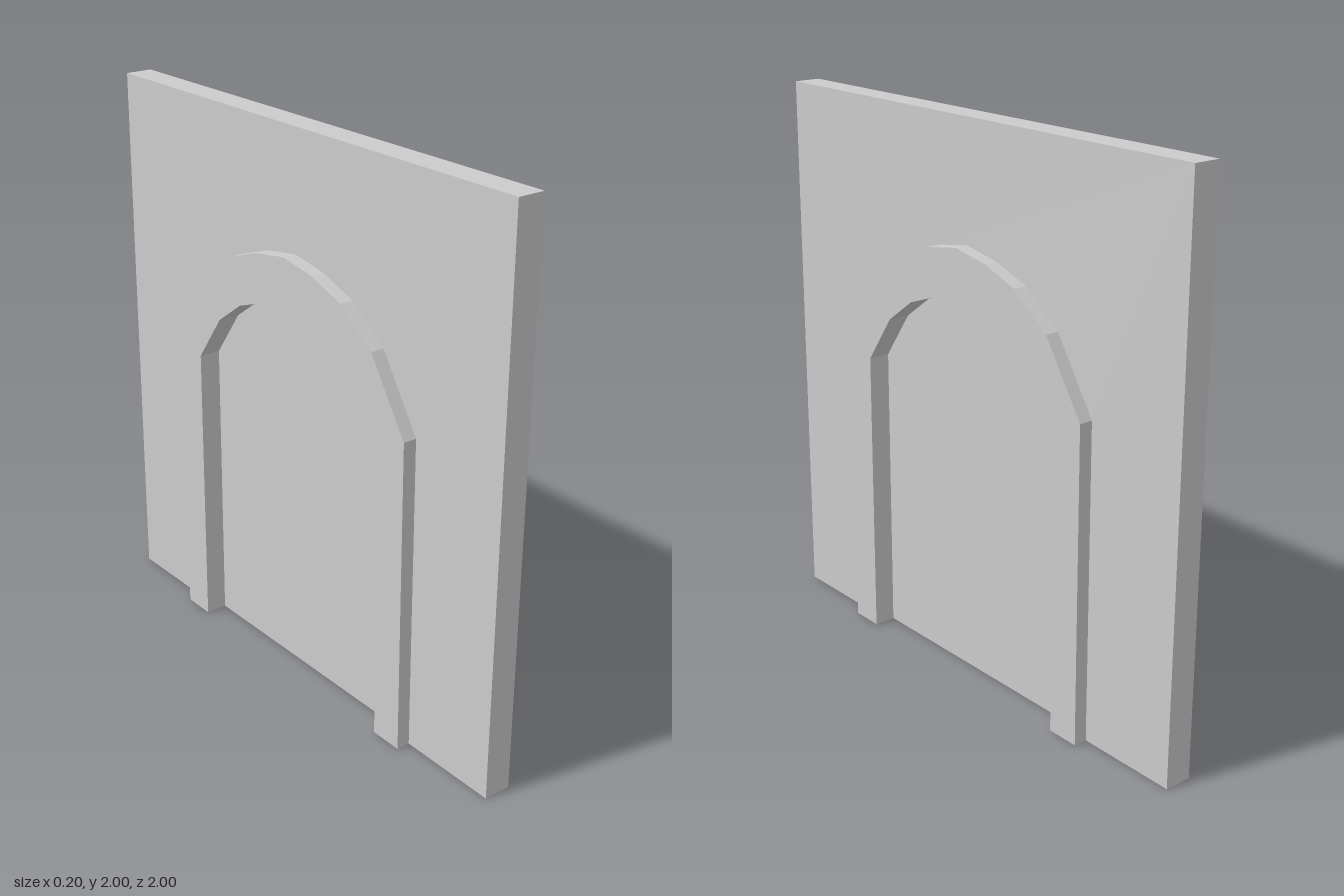
import * as THREE from 'three';

// Half outlines of the arch as [z, y], from the floor up to the crown
const OUTER = [[0.623, 0], [0.614, 1.135], [0.45, 1.385], [0.295, 1.5], [0.15, 1.55], [0, 1.575]];
const INNER = [[0.5, 0], [0.5, 1.07], [0.375, 1.245], [0.25, 1.335], [0.125, 1.38], [0, 1.4]];

// Mirrors a half outline into a full arch, running from +z foot to -z foot
function arch(half) {
  const mirrored = half.slice(0, -1).reverse().map(([z, y]) => [-z, y]);
  return [...half, ...mirrored];
}

// Extrudes an outline to a slab centred on x = 0, lying in the z-y plane
function slab(name, points, thickness, material) {
  const shape = new THREE.Shape(points.map(([z, y]) => new THREE.Vector2(z, y)));
  const geometry = new THREE.ExtrudeGeometry(shape, { depth: thickness, bevelEnabled: false });
  geometry.translate(0, 0, -thickness / 2);
  geometry.rotateY(Math.PI / 2);
  const mesh = new THREE.Mesh(geometry, material);
  mesh.name = name;
  return mesh;
}

export function createModel() {
  const group = new THREE.Group();
  group.name = 'archedDoorway';
  const material = new THREE.MeshStandardMaterial({ color: 0xcccccc, flatShading: true });

  const outer = arch(OUTER);
  const inner = arch(INNER);

  // Square wall with an arched opening
  group.add(slab('wall', [[1, 0], [1, 2], [-1, 2], [-1, 0], ...outer.slice().reverse()], 0.1, material));
  // Raised surround, standing proud on both sides
  group.add(slab('archFrame', [...outer, ...inner.slice().reverse()], 0.2, material));
  // Thin recessed door filling the opening
  group.add(slab('doorPanel', inner, 0.04, material));

  return group;
}
